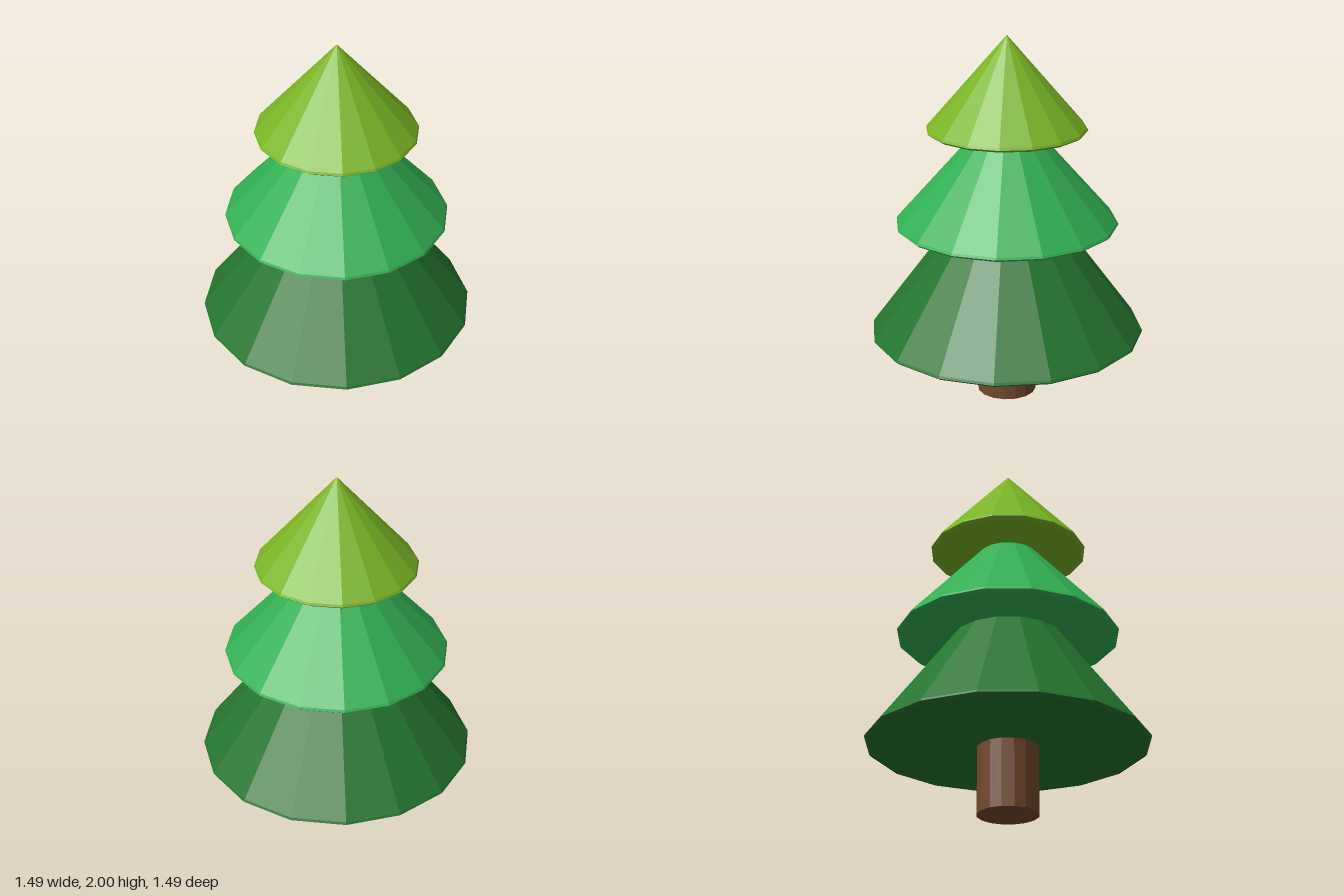
import * as THREE from 'three';

const SIDES = 16;

function material(name, color) {
  const m = new THREE.MeshStandardMaterial({ color });
  m.name = name;
  return m;
}

// Faceted solid of revolution from a bottom-to-top [radius, height] profile
function facetedLathe(name, profile, mat) {
  const points = profile.map(([r, y]) => new THREE.Vector2(r, y));
  const geometry = new THREE.LatheGeometry(points, SIDES).toNonIndexed();
  geometry.computeVertexNormals();
  const mesh = new THREE.Mesh(geometry, mat);
  mesh.name = name;
  return mesh;
}

export function createModel() {
  const tree = new THREE.Group();
  tree.name = 'tree';

  // Trunk
  const bark = material('bark brown', 0x74482e);
  tree.add(facetedLathe('trunk', [[0, 0], [0.162, 0], [0.162, 0.4], [0, 0.4]], bark));

  // Foliage tiers: cones with a small bevelled rim
  const tiers = [
    { name: 'lowerFoliage', base: 0.36, radius: 0.747, apex: 1.38, mat: material('dark green', 0x257530) },
    { name: 'middleFoliage', base: 0.975, radius: 0.6, apex: 1.67, mat: material('mid green', 0x32b053) },
    { name: 'upperFoliage', base: 1.49, radius: 0.428, apex: 2, mat: material('lime green', 0x7ab526) },
  ];
  for (const { name, base, radius, apex, mat } of tiers) {
    tree.add(facetedLathe(name, [
      [0, base],
      [radius - 0.016, base],
      [radius, base + 0.013],
      [radius - 0.006, base + 0.025],
      [0, apex],
    ], mat));
  }
  return tree;
}
